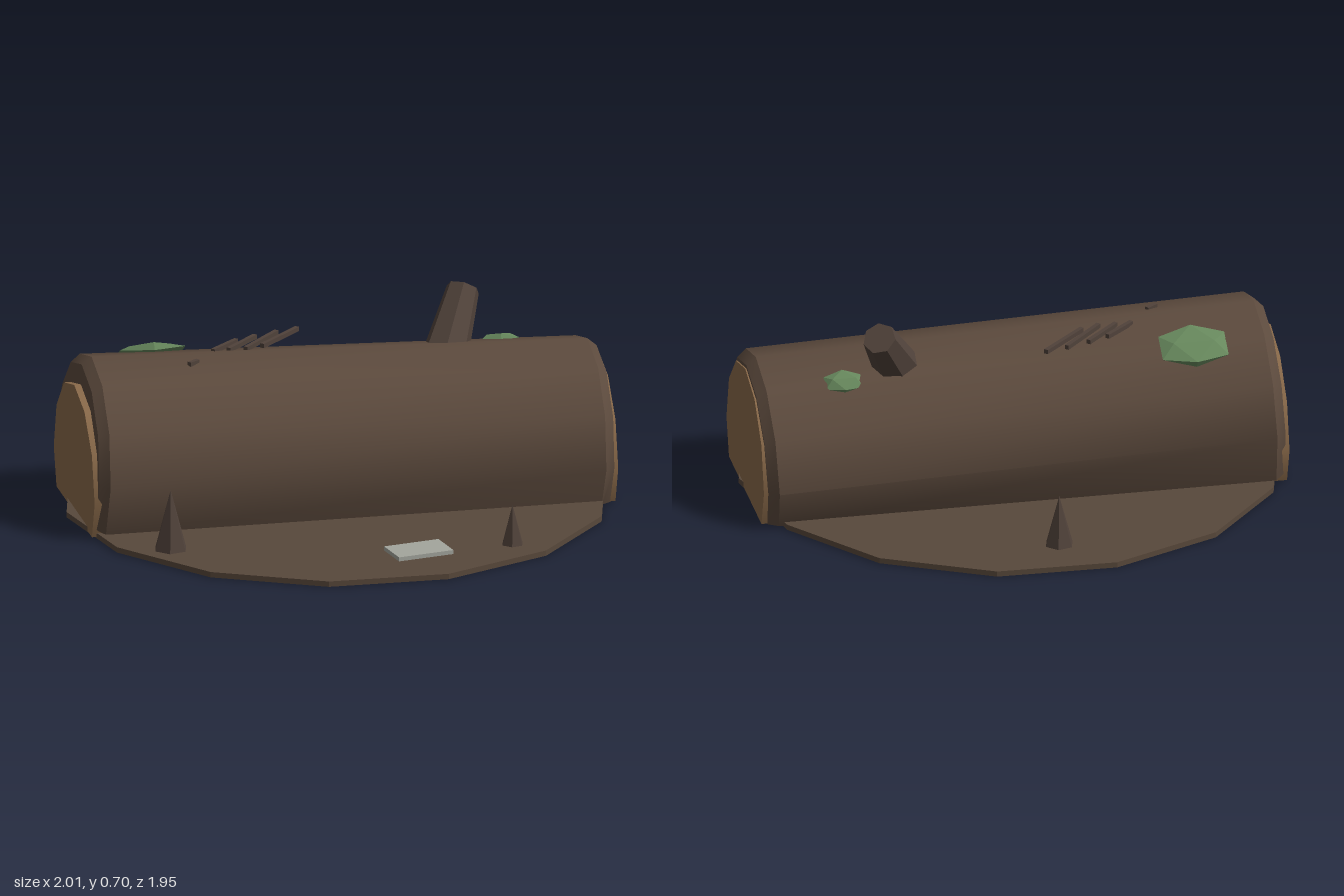
import * as THREE from 'three';
import { toCreasedNormals } from 'three/addons/utils/BufferGeometryUtils.js';

const YAW = 0.24;   // turn of the log on the ground
const TILT = 0.033; // the log sinks slightly towards its left end

function mat(name, color, flatShading = false) {
  const m = new THREE.MeshStandardMaterial({ color, flatShading });
  m.name = name;
  return m;
}

export function createModel() {
  const group = new THREE.Group();
  const bark = mat('bark', 0x5c4a3d);
  const soil = mat('soil', 0x58483b, true);
  const wood = mat('cutWood', 0x8a6a4a);
  const moss = mat('moss', 0x66875c, true);
  const stone = mat('paleSlab', 0xa3a59d, true);
  const dark = mat('darkBark', 0x50423a, true);

  const add = (name, geometry, material, x = 0, y = 0, z = 0) => {
    const mesh = new THREE.Mesh(geometry, material);
    mesh.name = name;
    mesh.position.set(x, y, z);
    group.add(mesh);
    return mesh;
  };

  // Flatten everything below the ground
  const restOnGround = (geometry) => {
    const p = geometry.attributes.position;
    for (let i = 0; i < p.count; i++) p.setY(i, Math.max(p.getY(i), 0.004));
    return toCreasedNormals(geometry, 0.62);
  };

  // Ground disc
  add('ground', new THREE.CylinderGeometry(0.973, 0.973, 0.02, 14), soil, 0, 0.01, 0);

  // Log with chamfered rims
  const profile = [[0, -0.935], [0.345, -0.935], [0.373, -0.9], [0.373, 0.9], [0.345, 0.935], [0, 0.935]]
    .map(([r, y]) => new THREE.Vector2(r, y));
  const log = new THREE.LatheGeometry(profile, 12);
  log.rotateZ(-Math.PI / 2 - TILT).rotateY(YAW).translate(0, 0.177, -0.06);
  add('log', restOnGround(log), bark);

  // Heartwood showing at both cut ends
  const core = new THREE.CylinderGeometry(0.338, 0.338, 1.9, 12);
  core.rotateZ(-Math.PI / 2).rotateY(YAW).translate(0, 0.14, -0.06);
  add('cutEnds', restOnGround(core), wood);

  // Broken branch stub
  const base = new THREE.Vector3(0.375, 0.44, -0.215);
  const tip = new THREE.Vector3(0.442, 0.66, -0.405);
  const axis = tip.clone().sub(base);
  const stub = add('branchStub', new THREE.CylinderGeometry(0.06, 0.088, axis.length(), 7), dark);
  stub.position.copy(base).lerp(tip, 0.5);
  stub.quaternion.setFromUnitVectors(new THREE.Vector3(0, 1, 0), axis.normalize());

  // Spiky shoots: x, z, radius, tip height
  for (const [x, z, r, top] of [[-0.57, 0.62, 0.065, 0.24], [0.64, 0.535, 0.043, 0.167], [-0.21, -0.73, 0.056, 0.207]]) {
    add('shoot', new THREE.ConeGeometry(r, top - 0.01, 6), dark, x, (top + 0.01) / 2, z);
  }

  // Moss patches laid on the back slope: position and size
  for (const [x, y, z, w, d] of [[-0.66, 0.515, -0.105, 0.14, 0.095], [0.57, 0.475, -0.38, 0.08, 0.052]]) {
    const patch = add('mossPatch', new THREE.IcosahedronGeometry(1, 0), moss, x, y, z);
    patch.scale.set(w, 0.028, d);
    patch.rotation.set(-0.55, YAW, 0, 'YXZ');
  }

  // Twigs lying on the log: start x, z to end x, z
  const twigs = [
    [-0.435, 0.0, -0.355, -0.12], [-0.38, -0.015, -0.29, -0.17], [-0.32, -0.027, -0.215, -0.22],
    [-0.262, -0.064, -0.143, -0.26], [-0.515, 0.15, -0.485, 0.115],
  ];
  for (const [x1, z1, x2, z2] of twigs) {
    const length = Math.hypot(x2 - x1, z2 - z1);
    const twig = add('twig', new THREE.BoxGeometry(0.016, 0.016, length), dark, (x1 + x2) / 2, 0.553, (z1 + z2) / 2);
    twig.rotation.y = Math.atan2(x2 - x1, z2 - z1);
  }

  // Flat pale slab
  add('slab', new THREE.BoxGeometry(0.21, 0.016, 0.135), stone, 0.31, 0.027, 0.637).rotation.y = 0.43;

  return group;
}
